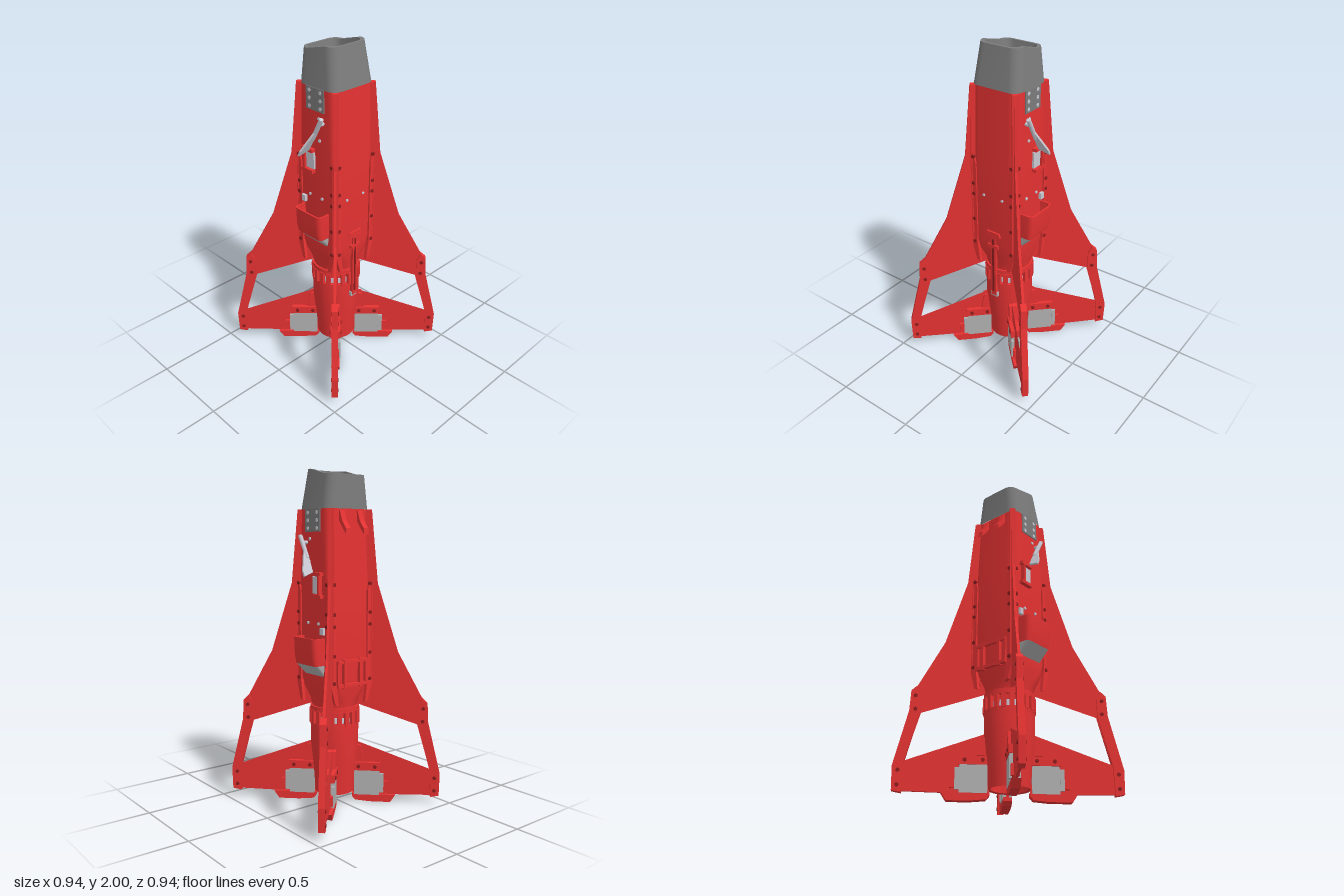
import * as THREE from 'three';
import { toCreasedNormals } from 'three/addons/utils/BufferGeometryUtils.js';

const mat = (color) => new THREE.MeshStandardMaterial({ color });
const red = mat(0xe53232), dark = mat(0x7c7c7c), grey = mat(0xb0b0b0), pale = mat(0xc8c8d2), shade = mat(0x8a1c1c);

function add(parent, name, geo, material, x = 0, y = 0, z = 0) {
  const m = new THREE.Mesh(geo, material);
  m.name = name;
  m.position.set(x, y, z);
  parent.add(m);
  return m;
}
const box = (w, h, d) => new THREE.BoxGeometry(w, h, d);
const cyl = (r, h, n = 12) => new THREE.CylinderGeometry(r, r, h, n);

// Flat plate from [x, y] points, centred on its thickness
function plate(points, depth, hole) {
  const shape = new THREE.Shape(points.map((p) => new THREE.Vector2(...p)));
  if (hole) shape.holes.push(new THREE.Path(hole.map((p) => new THREE.Vector2(...p))));
  return new THREE.ExtrudeGeometry(shape, { depth, bevelEnabled: false }).translate(0, 0, -depth / 2);
}

// Rounded-rectangle cross-section; y may be a number or a function of z
function ring(y, x0, x1, z0, z1, r) {
  const pts = [];
  [[1, 1], [-1, 1], [-1, -1], [1, -1]].forEach(([sx, sz], k) => {
    const cx = sx > 0 ? x1 - r : x0 + r, cz = sz > 0 ? z1 - r : z0 + r;
    for (let i = 0; i <= 7; i++) {
      const a = (k + i / 7) * Math.PI / 2;
      const z = cz + r * Math.sin(a);
      pts.push([cx + r * Math.cos(a), typeof y === 'function' ? y(z) : y, z]);
    }
  });
  return pts;
}
// Skin joining successive cross-sections
function loft(rings, crease = 0.6) {
  const n = rings[0].length, index = [];
  for (let j = 0; j < rings.length - 1; j++)
    for (let i = 0; i < n; i++) {
      const a = j * n + i, b = j * n + (i + 1) % n;
      index.push(a, a + n, b, b, a + n, b + n);
    }
  const g = new THREE.BufferGeometry();
  g.setAttribute('position', new THREE.Float32BufferAttribute(rings.flat(2), 3));
  g.setIndex(index);
  return toCreasedNormals(g, crease);
}

function makeFin() {
  const fin = new THREE.Group();
  fin.name = 'fin';
  const q = Math.SQRT2;
  const diag = (pts) => pts.map(([x, y]) => [x * q, y]);
  add(fin, 'finSheet', plate(
    diag([[0.12, 1.77], [0.155, 1.77], [0.182, 1.34], [0.27, 0.93], [0.375, 0.65], [0.4, 0.5], [0.45, 0.18], [0.45, 0.05], [0.08, 0.04], [0.08, 0.7]]),
    0.015, diag([[0.355, 0.49], [0.41, 0.215], [0.1, 0.375], [0.1, 0.61]])), red);
  // Thick outer strut with fastening plates and bolts
  add(fin, 'finStrut', plate(
    diag([[0.375, 0.65], [0.398, 0.62], [0.402, 0.5], [0.455, 0.185], [0.452, 0.05], [0.415, 0.04], [0.412, 0.2], [0.36, 0.49], [0.358, 0.6]]), 0.036), red);
  for (const [x, y] of [[0.38, 0.59], [0.378, 0.51], [0.432, 0.16], [0.432, 0.08]])
    add(fin, 'strutBolt', cyl(0.011, 0.044), shade, x * q, y, 0).rotation.x = Math.PI / 2;
  // Root rail and lower root gusset
  add(fin, 'rootRail', plate([[0.17, 1.77], [0.215, 1.77], [0.225, 1.35], [0.225, 0.78], [0.17, 0.66]], 0.034), red);
  add(fin, 'rootGusset', plate([[0.1, 0.37], [0.165, 0.35], [0.185, 0.25], [0.1, 0.25]], 0.05), red);
  // Actuator and its mount
  add(fin, 'actuator', box(0.155, 0.16, 0.052), grey, 0.2, 0.122, 0);
  add(fin, 'actuatorMount', box(0.165, 0.05, 0.062), red, 0.2, 0.222, 0);
  add(fin, 'actuatorPost', box(0.05, 0.06, 0.045), red, 0.305, 0.1, 0);
  for (const s of [-1, 1]) {
    add(fin, 'actuatorTab', box(0.025, 0.12, 0.016), grey, 0.29, 0.12, s * 0.023);
    for (const x of [0.15, 0.25])
      add(fin, 'mountBolt', cyl(0.011, 0.01), shade, x, 0.222, s * 0.032).rotation.x = Math.PI / 2;
  }
  add(fin, 'hingeFoot', plate([[0.11, 0.03], [0.13, 0.008], [0.22, 0], [0.345, 0], [0.375, 0.045], [0.11, 0.05]], 0.05), red);
  return fin;
}

function makeSide(s) {
  const side = new THREE.Group();
  side.name = s > 0 ? 'leftSide' : 'rightSide';
  // Open-topped scoop
  const sec = (y, x, d, r) => ring(y, Math.min(s * 0.11, s * x), Math.max(s * 0.11, s * x), -0.108 + d, 0.104 - d, r);
  add(side, 'scoop', loft([sec(0.87, 0.225, 0.004, 0.025), sec(0.92, 0.235, 0, 0.03), sec(1.03, 0.24, 0, 0.03),
    sec(1.03, 0.23, 0.01, 0.025), sec(0.92, 0.222, 0.012, 0.025), sec(0.88, 0.17, 0.03, 0.02)]), red);
  add(side, 'scoopUnderside', loft([sec(0.795, 0.15, 0.012, 0.015), sec(0.87, 0.224, 0.005, 0.025)]), grey);
  // Tilted lever with a flared vane
  const lever = new THREE.Group();
  lever.name = 'lever';
  lever.position.set(s * 0.19, 1.5, 0.02);
  lever.rotation.x = 0.49;
  side.add(lever);
  add(lever, 'leverStem', cyl(0.013, 0.15), pale, 0, 0.06, 0);
  add(lever, 'leverPivot', cyl(0.011, 0.05), pale, -s * 0.02, 0.09, 0).rotation.z = Math.PI / 2;
  add(lever, 'leverVane', plate([[-0.012, 0.03], [0.014, 0.03], [0.064, -0.095], [0.064, -0.13], [-0.004, -0.105]].map(([x, y]) => [s * x, y]), 0.012), pale);
  // Perforated tab below the nose
  add(side, 'noseTab', box(0.012, 0.13, 0.14), dark, s * 0.157, 1.705, 0.002);
  for (const z of [0.045, -0.04])
    for (const y of [1.66, 1.705, 1.75])
      add(side, 'tabHole', cyl(0.011, 0.016), pale, s * 0.157, y, z).rotation.z = Math.PI / 2;
  // Small framed latch
  add(side, 'latchPlate', box(0.02, 0.1, 0.07), pale, s * 0.16, 1.335, -0.04);
  for (const y of [1.27, 1.4]) add(side, 'latchBar', box(0.035, 0.02, 0.09), red, s * 0.167, y, -0.05);
  add(side, 'latchPost', box(0.035, 0.14, 0.014), red, s * 0.167, 1.335, -0.075);
  for (const [y, z] of [[1.6, 0.03], [1.47, 0.035], [1.11, 0.05], [1.11, -0.05]])
    add(side, 'sideRivet', cyl(0.009, 0.01), pale, s * 0.159, y, z).rotation.z = Math.PI / 2;
  add(side, 'sideStop', box(0.02, 0.04, 0.03), pale, s * 0.165, 1.07, -0.095);
  return side;
}

export function createModel() {
  const model = new THREE.Group();
  model.name = 'finnedRocket';

  // Body: round at the collar, rounded square above
  add(model, 'body', loft([
    ring(0.6, -0.135, 0.135, -0.135, 0.135, 0.134), ring(0.65, -0.14, 0.14, -0.14, 0.14, 0.125),
    ring(0.72, -0.153, 0.153, -0.152, 0.152, 0.08), ring(0.8, -0.157, 0.157, -0.157, 0.157, 0.05),
    ring(1.35, -0.158, 0.158, -0.156, 0.158, 0.05), ring(1.77, -0.157, 0.157, -0.142, 0.148, 0.055),
  ], 0.7), red);

  // Hollow nose with a stepped rim, funnelling into a round duct
  const rim = (z) => 1.965 + 0.035 * THREE.MathUtils.smoothstep(z, -0.05, 0.04);
  add(model, 'nose', loft([
    ring(1.77, -0.159, 0.159, -0.144, 0.15, 0.058), ring(rim, -0.137, 0.137, -0.14, 0.113, 0.058),
    ring(rim, -0.115, 0.115, -0.128, 0.097, 0.05), ring(1.88, -0.11, 0.11, -0.12, 0.09, 0.055),
    ring(1.73, -0.073, 0.073, -0.095, 0.051, 0.072),
  ]), dark);
  add(model, 'duct', loft([
    ring(1.73, -0.073, 0.073, -0.095, 0.051, 0.072), ring(1.25, -0.073, 0.073, -0.095, 0.051, 0.072),
  ]), red);
  add(model, 'ductFloor', cyl(0.075, 0.02, 24), red, 0, 1.25, -0.022);
  add(model, 'ductPlug', cyl(0.056, 0.04, 8), grey, 0, 1.27, -0.022).rotation.y = Math.PI / 8;

  // Open tail tube
  const tail = [[0.105, 0.6], [0.105, 0.07], [0.118, 0.065], [0.128, 0.2], [0.144, 0.36], [0.146, 0.49], [0.13, 0.5], [0.13, 0.61]];
  add(model, 'tail', toCreasedNormals(new THREE.LatheGeometry(tail.map((p) => new THREE.Vector2(...p)), 40), 0.5), red);
  add(model, 'tailBulkhead', cyl(0.106, 0.02, 32), red, 0, 0.3, 0);

  // Collar with a ring of clamps
  const clamps = 20;
  for (const [y, h] of [[0.592, 0.03], [0.495, 0.02]]) add(model, 'collarBand', cyl(0.148, h, 40), red, 0, y, 0);
  add(model, 'collarCore', cyl(0.134, 0.035, 40), pale, 0, 0.528, 0);
  for (let i = 0; i < clamps; i++) {
    const a = (i + 0.5) / clamps * Math.PI * 2;
    add(model, 'collarClamp', box(0.025, 0.085, 0.026), red, Math.cos(a) * 0.14, 0.54, Math.sin(a) * 0.14).rotation.y = -a;
  }

  // Four diagonal fins, and bolted flanges on the four faces
  for (let k = 0; k < 4; k++) {
    const fin = makeFin();
    fin.rotation.y = Math.PI / 4 + k * Math.PI / 2;
    model.add(fin);
    const face = new THREE.Group();
    face.name = 'faceFlanges';
    face.rotation.y = k * Math.PI / 2;
    model.add(face);
    for (const s of [-1, 1]) {
      const outline = [[0.118, 1.3], [0.14, 1.37], [0.16, 1.34], [0.16, 0.76], [0.125, 0.64], [0.1, 0.63], [0.118, 0.76]];
      add(face, 'flange', plate(outline.map(([x, y]) => [s * x, y]), 0.02), red, 0, 0, 0.156);
      for (const y of [1.34, 1.17, 1.1, 0.93, 0.77])
        add(face, 'flangeBolt', cyl(0.011, 0.012), shade, s * 0.136, y, 0.165).rotation.x = Math.PI / 2;
    }
  }

  for (const s of [1, -1]) {
    model.add(makeSide(s));
    add(model, 'frontRivet', cyl(0.008, 0.01), pale, s * 0.066, 1.11, 0.158).rotation.x = Math.PI / 2;
    // Rear hooks
    const hook = plate([[0.13, 1.765], [0.15, 1.76], [0.172, 1.7], [0.205, 1.66], [0.207, 1.625], [0.175, 1.66], [0.145, 1.7], [0.13, 1.71]], 0.034);
    add(model, 'rearHook', hook, red, s * 0.066, 0, 0).rotation.y = Math.PI / 2;
    add(model, 'rackPost', box(0.02, 0.17, 0.025), red, s * 0.06, 0.82, -0.165);
    add(model, 'rackEnd', box(0.016, 0.15, 0.02), red, s * 0.105, 0.82, -0.163);
  }
  for (const y of [0.75, 0.89]) add(model, 'rackBar', box(0.22, 0.018, 0.024), red, 0, y, -0.164);

  // Front latch rod with its plates
  add(model, 'latchRod', box(0.036, 0.44, 0.02), red, 0, 0.64, 0.155);
  add(model, 'latchGroove', box(0.012, 0.38, 0.004), shade, 0, 0.64, 0.166);
  const cap = plate([[-0.055, 0.855], [-0.045, 0.88], [0.045, 0.88], [0.055, 0.855], [0.04, 0.845], [-0.04, 0.845]], 0.014);
  add(model, 'latchCap', cap, red, 0, 0, 0.162);
  add(model, 'latchCross', box(0.075, 0.022, 0.02), red, 0, 0.78, 0.16);
  add(model, 'latchFoot', box(0.05, 0.03, 0.028), grey, 0, 0.425, 0.148);
  return model;
}
